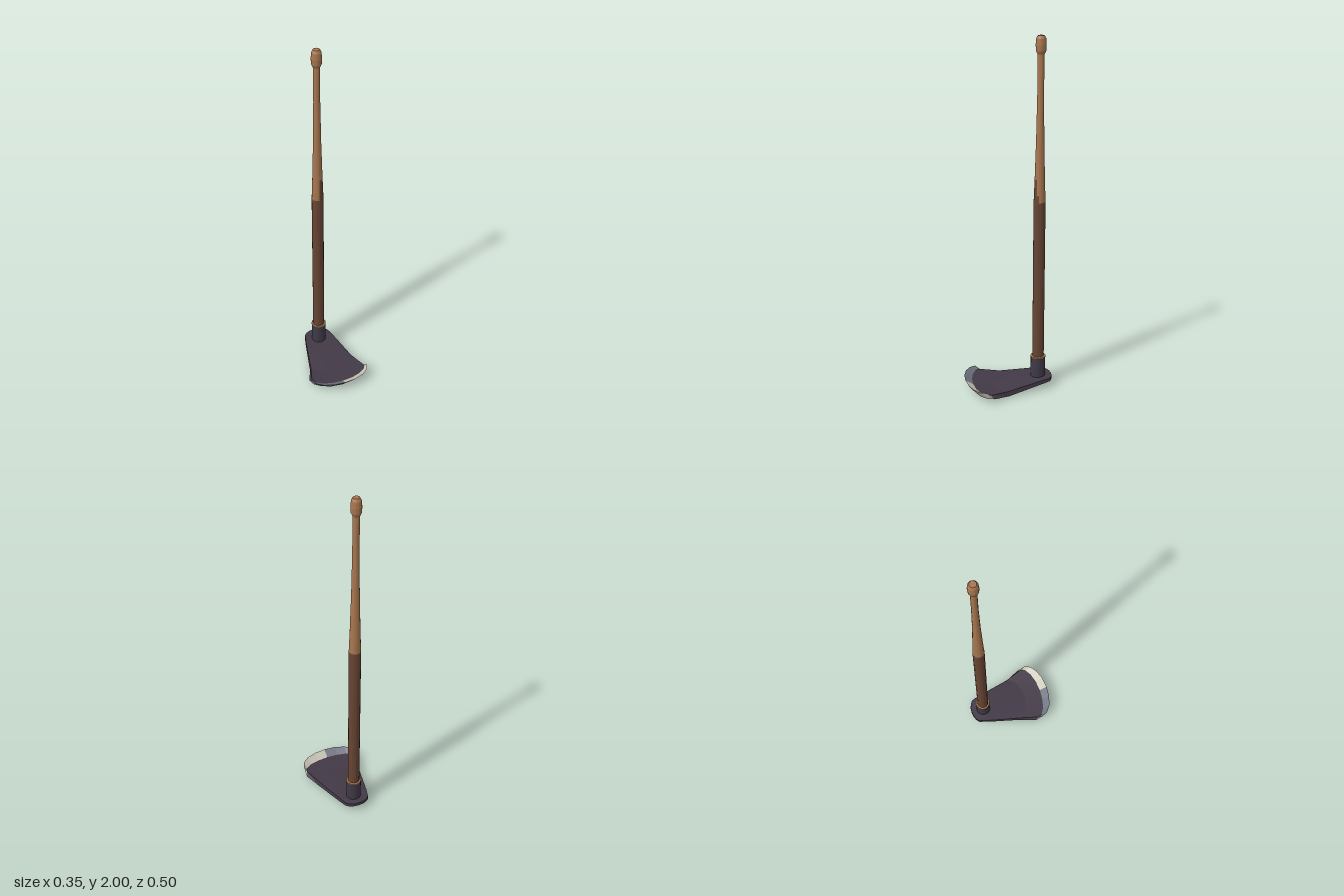
import * as THREE from 'three';

const SHAFT_Z = -0.175;
const SIDES = 16;
const STEP = (Math.PI * 2) / SIDES;

const material = (name, color) => {
  const m = new THREE.MeshStandardMaterial({ color });
  m.name = name;
  return m;
};

// Gives each face its own normal for a faceted look
function faceted(geometry) {
  const g = geometry.index ? geometry.toNonIndexed() : geometry;
  g.computeVertexNormals();
  return g;
}

function lathe(profile, first = 0, count = SIDES) {
  const pts = profile.map(([r, y]) => new THREE.Vector2(r, y));
  return faceted(new THREE.LatheGeometry(pts, count, first * STEP, count * STEP));
}

export function createModel() {
  const lightWood = material('light wood', 0xa8764f);
  const darkWood = material('dark wood', 0x674533);
  const socketIron = material('socket iron', 0x3e3a47);
  const bladeIron = material('blade iron', 0x423946);
  const paleSteel = material('pale steel', 0xc9c6b7);
  const greySteel = material('grey steel', 0x737684);

  const model = new THREE.Group();
  model.name = 'hoe';
  const add = (name, geometry, mat, parent = model) => {
    const mesh = new THREE.Mesh(geometry, mat);
    mesh.name = name;
    parent.add(mesh);
    return mesh;
  };

  // Handle: dark grip, tapering light shaft and end knob
  const handle = new THREE.Group();
  handle.name = 'handle';
  handle.position.z = SHAFT_Z;
  model.add(handle);
  add('lowerHandle', lathe([[0.033, 0.1], [0.033, 1.09]]), darkWood, handle);
  add('upperHandle', lathe([[0.028, 1.23], [0.022, 1.45], [0.018, 1.7], [0.018, 1.9]]), lightWood, handle);
  add('knob', lathe([[0.018, 1.9], [0.027, 1.92], [0.029, 1.95], [0.026, 1.985], [0.018, 2], [0, 2]]), lightWood, handle);

  // Uneven joint between the two wood tones, one facet at a time
  const radiusAt = (y) => 0.033 - (0.005 * (y - 1.09)) / 0.14;
  const tongue = [1.23, 1.23, 1.14];
  for (let i = 0; i < SIDES; i++) {
    const top = tongue[i] ?? 1.1;
    add('darkWoodJoint', lathe([[0.033, 1.09], [radiusAt(top), top]], i, 1), darkWood, handle);
    if (top < 1.23) add('lightWoodJoint', lathe([[radiusAt(top), top], [0.028, 1.23]], i, 1), lightWood, handle);
  }

  // Socket with a wooden rim showing at its mouth
  add('socket', lathe([[0.042, 0.045], [0.042, 0.168], [0.043, 0.172]]), socketIron, handle);
  add('socketRim', lathe([[0.043, 0.172], [0.043, 0.177], [0.033, 0.179]]), lightWood, handle);

  // Blade rows from back to front: half width, side z, forward bow, height, lift at the sides
  const topRows = [
    [0.077, -0.205, -0.047, 0.058, 0],
    [0.087, -0.17, 0, 0.056, 0],
    [0.131, 0.025, 0.075, 0.034, 0.002],
    [0.166, 0.135, 0.07, 0.036, 0.006],
    [0.174, 0.16, 0.09, 0.064, -0.002],
  ];
  const bottomRows = [
    [0.079, -0.205, -0.048, 0.04, 0],
    [0.089, -0.17, 0, 0.034, 0],
    [0.136, 0.025, 0.075, 0, 0.008],
    [0.174, 0.115, 0.095, 0.013, 0.007],
    topRows[4],
  ];
  const COLS = 8;
  const grid = (rows) => rows.map(([w, z, bow, y, lift]) =>
    Array.from({ length: COLS + 1 }, (_, i) => {
      const a = (i / COLS - 0.5) * Math.PI;
      return [w * Math.sin(a), y + lift * Math.sin(a) ** 2, z + bow * Math.cos(a)];
    }));
  const T = grid(topRows);
  const B = grid(bottomRows);
  const last = T.length - 1;

  const body = [], left = [], right = [];
  const tri = (out, ...corners) => corners.forEach((p) => out.push(...p));
  const quad = (out, a, b, c, d) => { tri(out, a, b, c); tri(out, a, c, d); };

  for (let v = 0; v < last; v++) {
    const edge = v === last - 1;
    for (let u = 0; u < COLS; u++) {
      const out = !edge ? body : u < COLS / 2 ? right : left;
      quad(out, T[v][u], T[v + 1][u], T[v + 1][u + 1], T[v][u + 1]);
      quad(out, B[v][u], B[v][u + 1], B[v + 1][u + 1], B[v + 1][u]);
    }
    // Side walls, closing to a point at the cutting edge
    if (edge) {
      tri(left, B[v][COLS], T[v][COLS], T[last][COLS]);
      tri(right, B[v][0], T[last][0], T[v][0]);
    } else {
      quad(body, B[v][COLS], T[v][COLS], T[v + 1][COLS], B[v + 1][COLS]);
      quad(body, B[v][0], B[v + 1][0], T[v + 1][0], T[v][0]);
    }
  }
  // Back wall
  for (let u = 0; u < COLS; u++) quad(body, B[0][u], T[0][u], T[0][u + 1], B[0][u + 1]);

  const surface = (points) => {
    const g = new THREE.BufferGeometry();
    g.setAttribute('position', new THREE.Float32BufferAttribute(points, 3));
    return faceted(g);
  };
  add('blade', surface(body), bladeIron);
  add('leftCuttingEdge', surface(left), paleSteel);
  add('rightCuttingEdge', surface(right), greySteel);

  return model;
}
